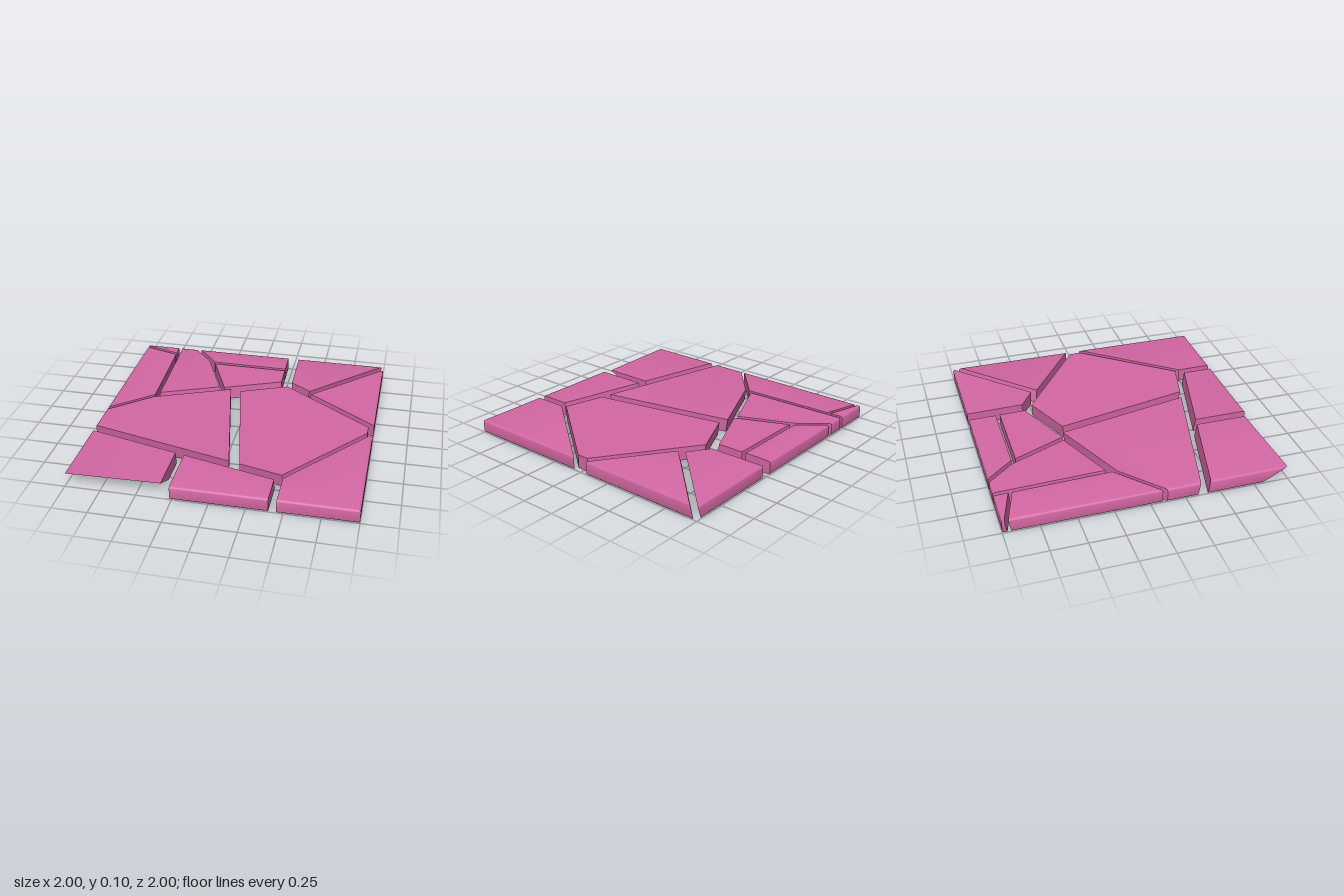
import * as THREE from 'three';
import { toCreasedNormals } from 'three/addons/utils/BufferGeometryUtils.js';

const THICKNESS = 0.1;
const ROUND = 0.015; // rounding along the outer rim of the slab

// A straight cut seen from above: centre line, gap width, and how far its
// plane shifts towards its right-hand side at the underside.
const cut = (x1, z1, x2, z2, gap, lean = 0) => {
  const from = new THREE.Vector2(x1, z1);
  const dir = new THREE.Vector2(x2, z2).sub(from).normalize();
  return { from, dir, normal: new THREE.Vector2(-dir.y, dir.x), gap, lean };
};
const rim = (x1, z1, x2, z2) => ({ ...cut(x1, z1, x2, z2, 0), rounded: true });

const CUTS = {
  // Outer rim, clockwise from above
  back: rim(-1, -1, 1, -1),
  right: rim(1, -1, 1, 1),
  front: rim(1, 1, -1, 1),
  left: rim(-1, 1, -1, -1),
  // Cracks across the back
  sliver: cut(-1, -0.97, -0.72, -0.885, 0.025, 0.015),
  leftBack: cut(-0.716, -1, -0.69, -0.2, 0.03, 0.01),
  diagBack: cut(-0.56, -1, -0.39, -0.8, 0.03),
  innerLeft: cut(-0.387, -0.78, -0.223, -0.398, 0.035),
  innerBack: cut(-0.37, -0.79, 0.22, -0.785, 0.03),
  rightBack: cut(0.255, -1, 0.265, -0.58, 0.085),
  diagRight: cut(1, -0.977, 0.5, -0.477, 0.046, 0.022),
  // Cracks around the two large centre pieces
  leftCentre: cut(-1, 0.102, -0.7, -0.163, 0.025),
  midLeft: cut(-0.7, -0.174, -0.2, -0.386, 0.056, 0.012),
  midRight: cut(-0.2, -0.351, 0.28, -0.557, 0.085, 0.01),
  centre: cut(-0.108, -0.37, 0.095, 0.62, 0.072),
  rightNear: cut(0.3, -0.54, 0.5, -0.403, 0.075),
  rightFar: cut(0.5, -0.385, 1, -0.028, 0.045),
  tip: cut(0.98, -0.03, 0.98, 0.05, 0.04),
  rightFront: cut(0.455, 0.72, 1, 0.032, 0.032),
  // Cracks along the front
  frontCrack: cut(-1, 0.389, 0.43, 0.742, 0.068, -0.015),
  leftFront: cut(-0.298, 0.6, -0.298, 1, 0.065),
  midFront: cut(0.428, 0.75, 0.428, 1, 0.055),
  undercut: cut(-0.33, 0.98, -1, 1, 0.02, 0.19),
};

// The cuts bounding each shard, clockwise from above; "-" follows one backwards
const SHARDS = {
  backLeftSliver: 'back leftBack -sliver left',
  leftShard: 'left sliver leftBack -leftCentre',
  backLeftShard: 'back diagBack innerLeft -midLeft -leftBack',
  backShard: 'back rightBack -innerBack -diagBack',
  backInnerShard: 'innerBack rightBack -midRight -innerLeft',
  backRightShard: 'back diagRight -rightNear -rightBack',
  rightShard: '-diagRight right -rightFar',
  rightCentreShard: 'midRight rightFar tip -rightFront -frontCrack -centre',
  leftCentreShard: 'left leftCentre midLeft centre -frontCrack',
  frontLeftShard: 'left frontCrack leftFront undercut',
  frontShard: 'frontCrack midFront front -leftFront',
  frontRightShard: 'rightFront right front -midFront',
};

// Cross-section heights and rim insets, from the underside up
function rimProfile() {
  const lower = [0, 1, 2, 3].map((i) => {
    const a = (i / 3) * Math.PI / 2;
    return { y: ROUND * (1 - Math.cos(a)), inset: ROUND * (1 - Math.sin(a)) };
  });
  const upper = lower.map(({ y, inset }) => ({ y: THICKNESS - y, inset })).reverse();
  return [...lower, ...upper];
}

// One side of a cut at a given height, as a point and a direction
function faceLine(key, { y, inset }) {
  const side = key.startsWith('-') ? -1 : 1;
  const { from, dir, normal, gap, lean, rounded } = CUTS[key.replace('-', '')];
  const shift = side * gap / 2 + lean * (1 - y / THICKNESS) + (rounded ? inset : 0);
  return { point: from.clone().addScaledVector(normal, shift), dir };
}

function intersect(a, b) {
  const t = b.point.clone().sub(a.point).cross(b.dir) / a.dir.cross(b.dir);
  return a.point.clone().addScaledVector(a.dir, t);
}

// Lofts a shard through its cross-sections
function shardGeometry(edges) {
  const n = edges.length;
  const rings = rimProfile();
  const positions = [];
  const index = [];
  for (const ring of rings) {
    const lines = edges.map((key) => faceLine(key, ring));
    lines.forEach((line, i) => {
      const corner = intersect(lines[(i + n - 1) % n], line);
      positions.push(corner.x, ring.y, corner.y);
    });
  }
  // Side walls
  for (let r = 0; r < rings.length - 1; r++) {
    for (let i = 0; i < n; i++) {
      const a = r * n + i;
      const b = r * n + (i + 1) % n;
      index.push(b, a, a + n, b, a + n, b + n);
    }
  }
  // Flat underside and top
  const last = (rings.length - 1) * n;
  for (let i = 1; i < n - 1; i++) {
    index.push(0, i, i + 1, last, last + i + 1, last + i);
  }
  const geometry = new THREE.BufferGeometry();
  geometry.setAttribute('position', new THREE.Float32BufferAttribute(positions, 3));
  geometry.setIndex(index);
  return toCreasedNormals(geometry, 0.65);
}

export function createModel() {
  const group = new THREE.Group();
  group.name = 'crackedSlab';
  const material = new THREE.MeshStandardMaterial({ color: 0xd468a4 });
  for (const [name, edges] of Object.entries(SHARDS)) {
    const mesh = new THREE.Mesh(shardGeometry(edges.split(' ')), material);
    mesh.name = name;
    group.add(mesh);
  }
  return group;
}
